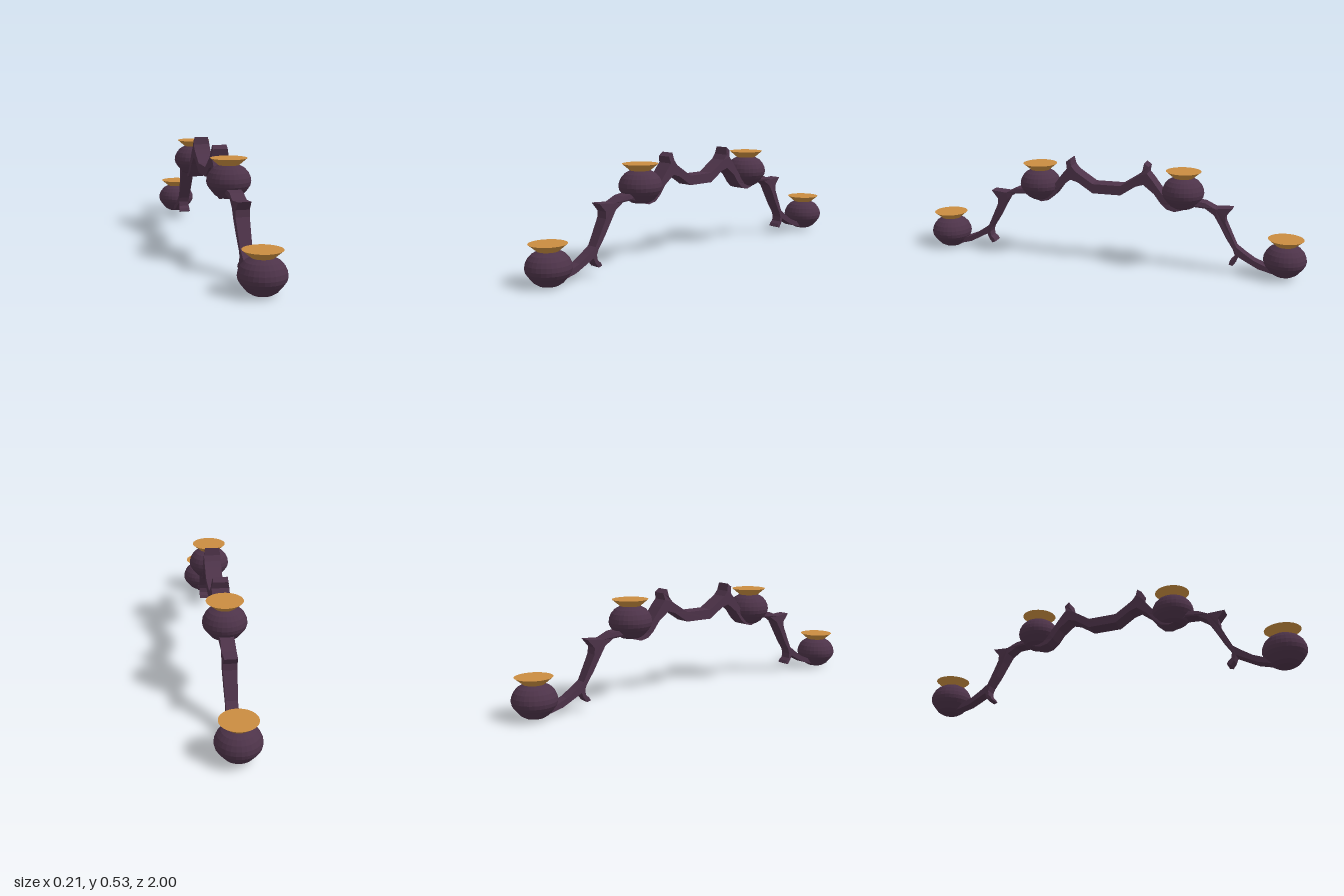
import * as THREE from 'three';

const purple = new THREE.MeshStandardMaterial({ color: 0x4d3349, flatShading: true });
const gold = new THREE.MeshStandardMaterial({ color: 0xc98c40, flatShading: true });
const pts = (list) => list.map(([a, b]) => new THREE.Vector2(a, b));

// Half outline of the arm as [z, y], upper edge from the middle to the end
const upper = [
  [0.073, 0.41], [0.135, 0.45], [0.165, 0.47], [0.185, 0.495], [0.192, 0.533], [0.215, 0.515],
  [0.208, 0.482], [0.235, 0.45], [0.265, 0.41], [0.30, 0.365], [0.37, 0.345], [0.44, 0.36],
  [0.50, 0.352], [0.55, 0.327], [0.634, 0.333], [0.60, 0.292], [0.602, 0.26], [0.635, 0.19],
  [0.66, 0.138], [0.70, 0.108], [0.75, 0.075], [0.80, 0.055], [0.88, 0.04],
];
// Lower edge from the end back to the middle
const lower = [
  [0.88, 0.01], [0.83, 0.02], [0.77, 0.036], [0.72, 0.062], [0.672, 0.088], [0.662, 0.062],
  [0.645, 0.04], [0.627, 0.047], [0.635, 0.062], [0.65, 0.075], [0.654, 0.10], [0.645, 0.125],
  [0.61, 0.18], [0.572, 0.25], [0.545, 0.295], [0.50, 0.325], [0.44, 0.33], [0.40, 0.312],
  [0.35, 0.298], [0.31, 0.308], [0.28, 0.335], [0.245, 0.382], [0.19, 0.425], [0.15, 0.413],
  [0.073, 0.362],
];

// Half width of the arm along its length
const widths = [[0, 0.042], [0.34, 0.043], [0.48, 0.031], [0.57, 0.035], [0.66, 0.028], [1, 0.028]];
function halfWidth(z, y) {
  if (y > 0.51) return 0.036;
  const a = Math.abs(z);
  const i = widths.findIndex((w) => w[0] >= a);
  if (i < 1) return widths[0][1];
  const [z0, w0] = widths[i - 1], [z1, w1] = widths[i];
  return w0 + (w1 - w0) * (a - z0) / (z1 - z0);
}

function makeArm() {
  const half = [...upper, ...lower];
  const mirrored = half.map(([z, y]) => [-z, y]).reverse();
  const shape = new THREE.Shape(pts([...half, ...mirrored]));
  const geo = new THREE.ExtrudeGeometry(shape, { depth: 2, bevelEnabled: false });
  geo.translate(0, 0, -1).rotateY(-Math.PI / 2);
  const p = geo.attributes.position;
  for (let i = 0; i < p.count; i++) {
    p.setX(i, Math.sign(p.getX(i)) * halfWidth(p.getZ(i), p.getY(i)));
  }
  geo.computeVertexNormals();
  const arm = new THREE.Mesh(geo, purple);
  arm.name = 'branchArm';
  return arm;
}

const bowlGeo = new THREE.LatheGeometry(pts([
  [0, 0], [0.045, 0.003], [0.066, 0.016], [0.09, 0.045], [0.101, 0.062], [0.105, 0.08],
  [0.102, 0.1], [0.092, 0.122], [0.075, 0.141], [0.047, 0.157], [0, 0.157],
]), 28);
const dishGeo = new THREE.LatheGeometry(pts([[0.045, 0.153], [0.05, 0.157], [0.087, 0.188], [0, 0.188]]), 32);

// Round holder with a flared dish on top
function makeHolder(name, y, z) {
  const holder = new THREE.Group();
  holder.name = name;
  const bowl = new THREE.Mesh(bowlGeo, purple);
  bowl.name = 'bowl';
  const dish = new THREE.Mesh(dishGeo, gold);
  dish.name = 'dish';
  holder.add(bowl, dish);
  holder.position.set(0, y, z);
  return holder;
}

export function createModel() {
  const model = new THREE.Group();
  model.name = 'candelabra';
  model.add(
    makeArm(),
    makeHolder('frontOuterHolder', 0, 0.895),
    makeHolder('frontInnerHolder', 0.304, 0.367),
    makeHolder('backInnerHolder', 0.31, -0.383),
    makeHolder('backOuterHolder', 0.006, -0.895),
  );
  return model;
}
